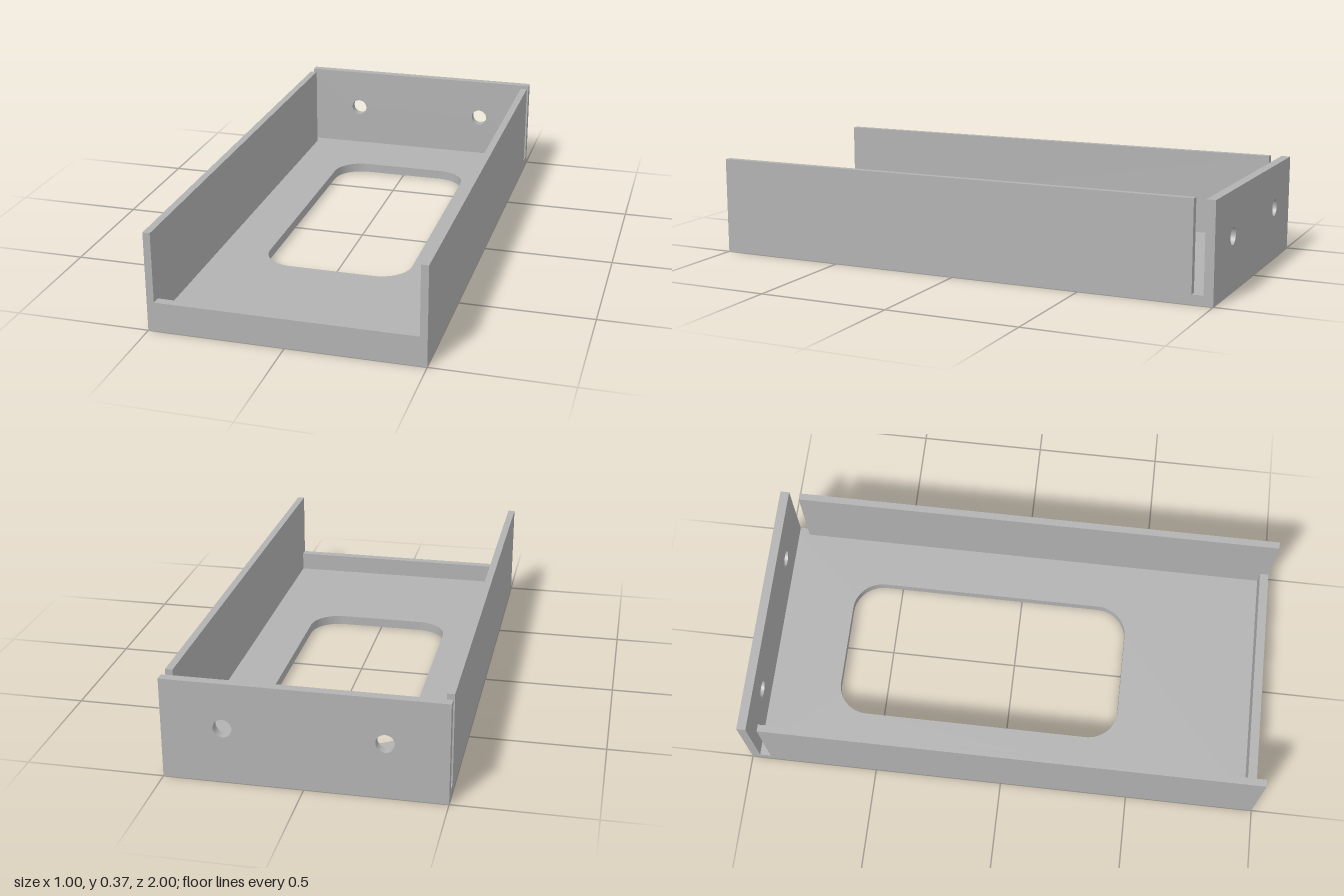
import * as THREE from 'three';

const W = 1, L = 2, H = 0.373;           // overall width, length, height
const FLOOR = 0.037, SIDE = 0.027, END = 0.035;
const SLOT = 0.043, LIP = 0.111;         // gap before the back wall, front lip height

// Rectangle outline with optional rounded corners
function roundedRect(path, x0, y0, x1, y1, r) {
  path.moveTo(x0 + r, y0);
  path.lineTo(x1 - r, y0);
  path.absarc(x1 - r, y0 + r, r, -Math.PI / 2, 0, false);
  path.lineTo(x1, y1 - r);
  path.absarc(x1 - r, y1 - r, r, 0, Math.PI / 2, false);
  path.lineTo(x0 + r, y1);
  path.absarc(x0 + r, y1 - r, r, Math.PI / 2, Math.PI, false);
  path.lineTo(x0, y0 + r);
  path.absarc(x0 + r, y0 + r, r, Math.PI, Math.PI * 1.5, false);
  return path;
}

function rectShape(x0, y0, x1, y1) {
  return new THREE.Shape([[x0, y0], [x1, y0], [x1, y1], [x0, y1]].map(p => new THREE.Vector2(...p)));
}

export function createModel() {
  const group = new THREE.Group();
  group.name = 'tray';
  const grey = new THREE.MeshStandardMaterial({ color: 0xb2b2b2 });
  grey.name = 'grey';

  function add(name, geometry, x, y, z) {
    const mesh = new THREE.Mesh(geometry, grey);
    mesh.name = name;
    mesh.position.set(x, y, z);
    group.add(mesh);
  }

  // Floor with the rounded opening (shape y becomes -z)
  const floor = rectShape(-W / 2, -L / 2, W / 2, L / 2);
  floor.holes.push(roundedRect(new THREE.Path(), -0.283, -0.437, 0.283, 0.69, 0.12));
  const floorGeometry = new THREE.ExtrudeGeometry(floor, { depth: FLOOR, bevelEnabled: false, curveSegments: 12 });
  floorGeometry.rotateX(-Math.PI / 2);
  add('floor', floorGeometry, 0, 0, 0);

  // Back wall with two screw holes
  const back = rectShape(-W / 2, FLOOR, W / 2, H);
  for (const s of [-1, 1]) {
    back.holes.push(new THREE.Path().absarc(s * 0.281, 0.206, 0.033, 0, Math.PI * 2, false));
  }
  add('backWall', new THREE.ExtrudeGeometry(back, { depth: END, bevelEnabled: false, curveSegments: 32 }), 0, 0, -L / 2);

  // Side walls, stopping short of the back wall to leave a slot
  const sideLength = L - END - SLOT;
  for (const [name, s] of [['leftWall', 1], ['rightWall', -1]]) {
    add(name, new THREE.BoxGeometry(SIDE, H - FLOOR, sideLength),
      s * (W - SIDE) / 2, (H + FLOOR) / 2, (L - sideLength) / 2);
  }

  // Low lip across the front
  add('frontLip', new THREE.BoxGeometry(W - 2 * SIDE, LIP - FLOOR, END), 0, (LIP + FLOOR) / 2, (L - END) / 2);

  return group;
}
